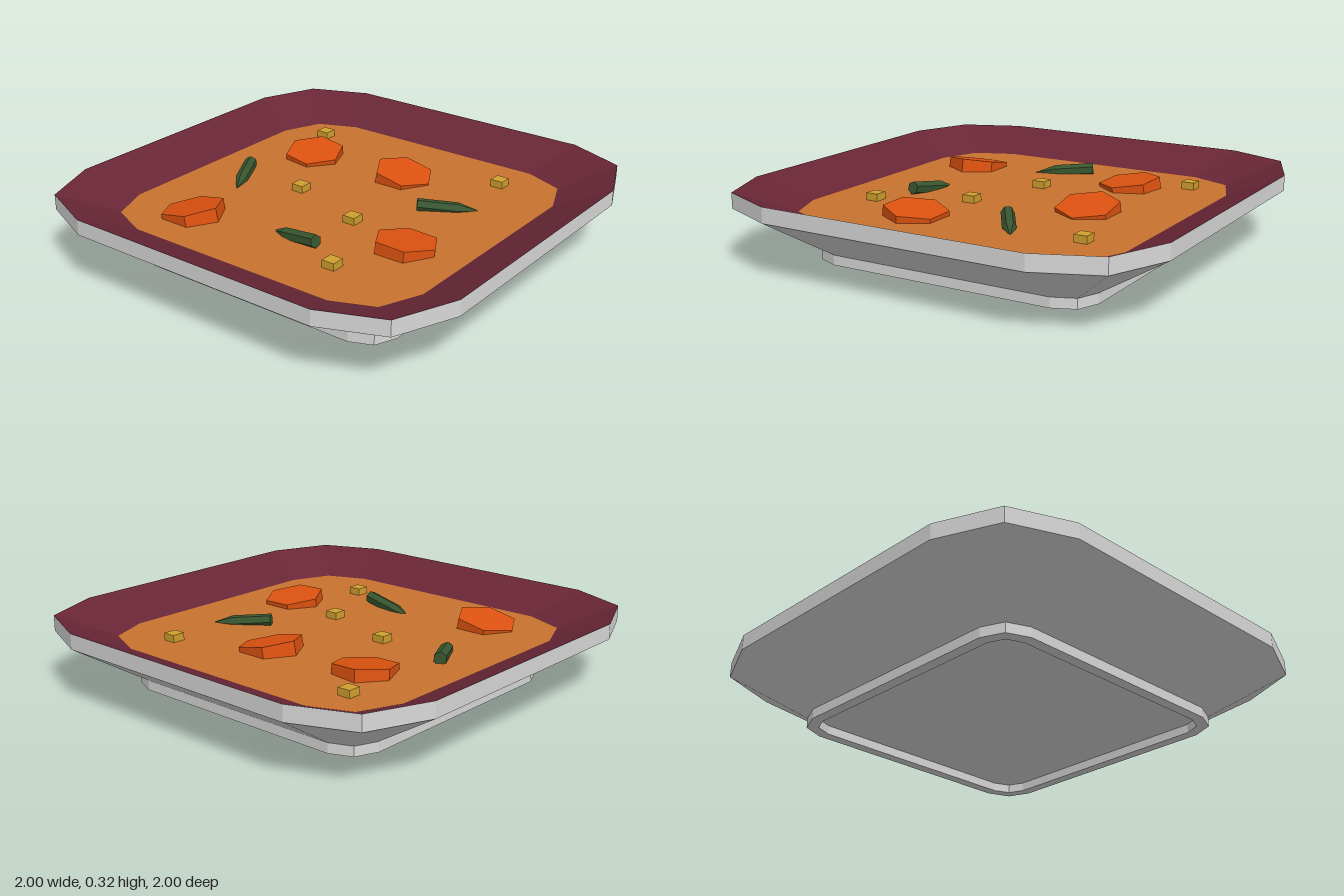
import * as THREE from 'three';

const material = (name, color) => Object.assign(new THREE.MeshStandardMaterial({ color }), { name });

// Faceted normals for the low-poly look
function faceted(geometry) {
  const g = geometry.index ? geometry.toNonIndexed() : geometry;
  g.computeVertexNormals();
  return g;
}

// Rounded square outline: half width, corner radius and height
function ring([half, radius, y]) {
  const points = [];
  const c = half - radius;
  [[1, 1], [-1, 1], [-1, -1], [1, -1]].forEach(([sx, sz], k) => {
    for (let j = 0; j < 3; j++) {
      const a = k * Math.PI / 2 + j * Math.PI / 4;
      points.push([sx * c + radius * Math.cos(a), y, sz * c + radius * Math.sin(a)]);
    }
  });
  return points;
}

// Skin a series of outlines; later outlines lie to the outside-left of the path
function loft(profile) {
  const rings = profile.map(ring);
  const pos = [];
  for (let r = 0; r < rings.length - 1; r++) {
    for (let i = 0; i < 12; i++) {
      const n = (i + 1) % 12;
      const a = rings[r][i], b = rings[r][n], c = rings[r + 1][n], d = rings[r + 1][i];
      pos.push(...a, ...d, ...c, ...a, ...c, ...b);
    }
  }
  const g = new THREE.BufferGeometry();
  g.setAttribute('position', new THREE.Float32BufferAttribute(pos, 3));
  return faceted(g);
}

export function createModel() {
  const model = new THREE.Group();
  model.name = 'soupBowl';

  const ceramic = material('pale grey ceramic', 0xd8d8d8);
  const glaze = material('maroon glaze', 0x692636);
  const broth = material('orange broth', 0xc8722e);
  const carrotOrange = material('carrot orange', 0xdc5210);
  const beanGreen = material('bean green', 0x38552f);
  const cornYellow = material('corn yellow', 0xd0a02e);

  const add = (name, geometry, mat) => {
    const mesh = new THREE.Mesh(geometry, mat);
    mesh.name = name;
    model.add(mesh);
    return mesh;
  };

  // Bowl: recessed underside, foot ring, flared wall and upright rim
  add('bowlOutside', loft([
    [0, 0, 0.04], [0.62, 0.1, 0.04], [0.62, 0.1, 0], [0.67, 0.14, 0],
    [0.67, 0.14, 0.045], [1, 0.385, 0.25], [1, 0.385, 0.32],
  ]), ceramic);
  add('bowlInside', loft([[1, 0.385, 0.32], [0.77, 0.26, 0.22]]), glaze);
  add('soupSurface', loft([[0.77, 0.26, 0.22], [0, 0, 0.22]]), broth);

  // Carrot slices: x, z, then tilt about x, turn about y, tilt about z
  const slice = faceted(new THREE.CylinderGeometry(0.141, 0.141, 0.08, 6));
  [
    [-0.51, -0.43, -0.2, 0, 0],
    [0.33, -0.43, 0.08, -0.13, 0.12],
    [0.37, 0.06, 0.2, 0, 0],
    [-0.225, 0.49, 0.03, 0, -0.12],
  ].forEach(([x, z, rx, ry, rz]) => {
    const carrot = add('carrotSlice', slice, carrotOrange);
    carrot.position.set(x, 0.215, z);
    carrot.rotation.set(rx, ry, rz);
  });

  // Green beans: blunt end to pointed tip
  const pod = faceted(new THREE.LatheGeometry(
    [[0, 0], [0.03, 0], [0.03, 0.18], [0, 0.28]].map(([r, y]) => new THREE.Vector2(r, y)), 6));
  [
    [[0.05, 0.24, -0.595], [-0.2, 0.22, -0.465]],
    [[-0.45, 0.25, 0.2], [-0.412, 0.205, 0.07 - 0.15]],
    [[0.12, 0.24, 0.31], [0.28, 0.215, 0.55]],
  ].forEach(([from, to]) => {
    const start = new THREE.Vector3(...from);
    const direction = new THREE.Vector3(...to).sub(start).normalize();
    const bean = add('greenBean', pod, beanGreen);
    bean.position.copy(start);
    bean.quaternion.setFromUnitVectors(new THREE.Vector3(0, 1, 0), direction);
  });

  // Corn pieces
  const cube = new THREE.BoxGeometry(0.06, 0.06, 0.06);
  [[0.575, -0.555], [-0.025, -0.225], [-0.155, 0.165], [-0.54, 0.355], [0.565, 0.465]]
    .forEach(([x, z]) => add('cornPiece', cube, cornYellow).position.set(x, 0.223, z));

  return model;
}
